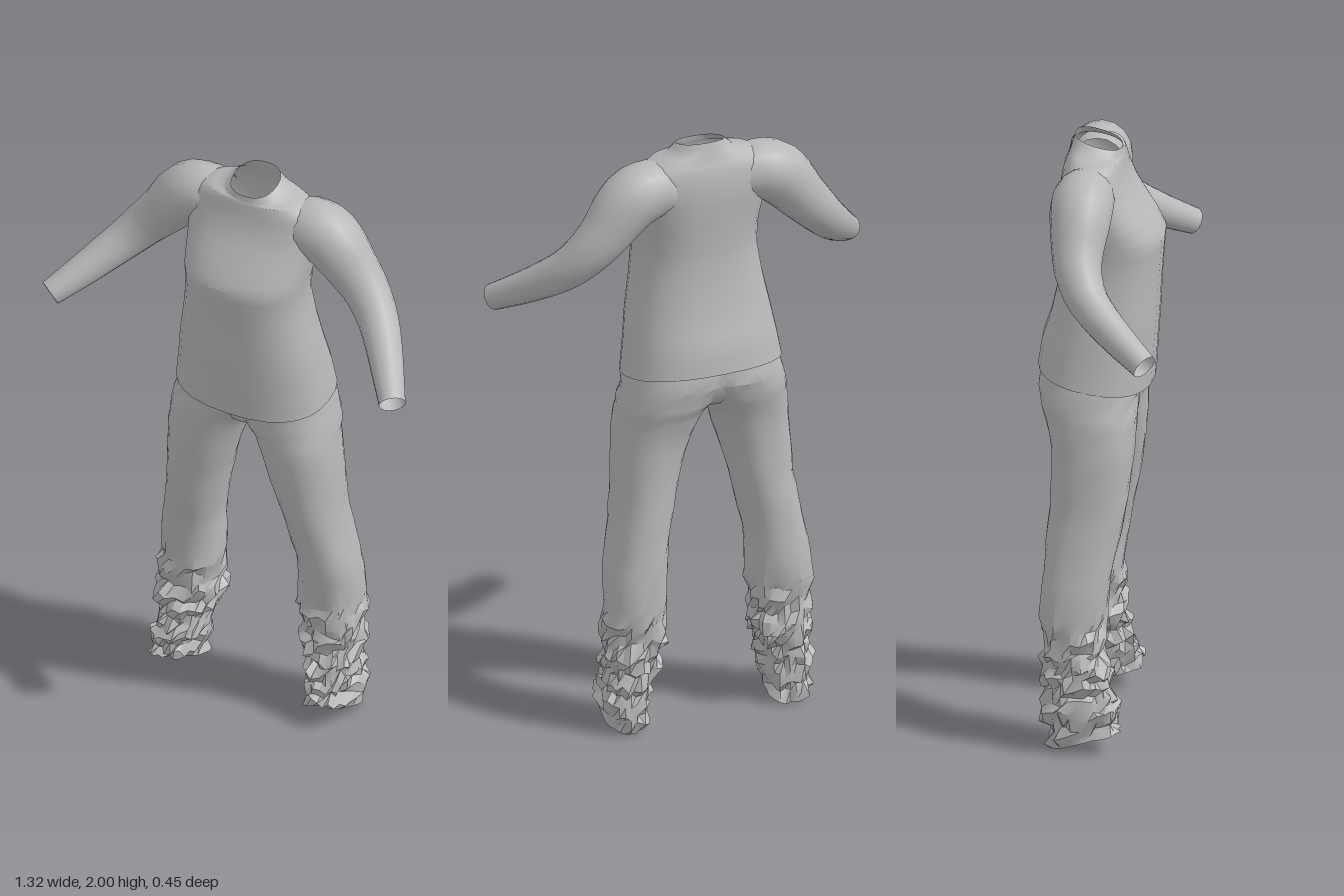
import * as THREE from 'three';
import { toCreasedNormals } from 'three/addons/utils/BufferGeometryUtils.js';

const SEG = 28;

// Small seeded random in -1..1
function seeded(seed) {
  return () => {
    seed = (seed * 16807) % 2147483647;
    return (seed / 2147483647) * 2 - 1;
  };
}

// Skin a list of rings (equal point counts, bottom to top) into an open tube
function loft(rings, crease = 0.6) {
  const pos = [], index = [], n = rings[0].length;
  rings.forEach(r => r.forEach(p => pos.push(p.x, p.y, p.z)));
  for (let i = 0; i < rings.length - 1; i++) {
    for (let j = 0; j < n; j++) {
      const a = i * n + j, b = i * n + (j + 1) % n;
      index.push(a, a + n, b, b, a + n, b + n);
    }
  }
  const g = new THREE.BufferGeometry();
  g.setAttribute('position', new THREE.Float32BufferAttribute(pos, 3));
  g.setIndex(index);
  return toCreasedNormals(g, crease);
}

// Rounded-box cross-section: row = [y, xMin, xMax, zBack, zFront, tilt]
function ring([y, x0, x1, zb, zf, tilt = 0], power) {
  const cx = (x0 + x1) / 2, rx = (x1 - x0) / 2, cz = (zb + zf) / 2, rz = (zf - zb) / 2;
  return Array.from({ length: SEG }, (_, j) => {
    const a = j / SEG * Math.PI * 2, c = Math.cos(a), s = Math.sin(a);
    const px = Math.sign(c) * Math.abs(c) ** (2 / power) * rx;
    const pz = Math.sign(s) * Math.abs(s) ** (2 / power) * rz;
    return new THREE.Vector3(cx + px, y + tilt * pz, cz + pz);
  });
}

// Insert evenly blended rows between the given rows
function refine(rows, steps) {
  const out = [];
  for (let i = 0; i < rows.length - 1; i++)
    for (let k = 0; k < steps; k++)
      out.push(rows[i].map((v, c) => THREE.MathUtils.lerp(v, rows[i + 1][c], k / steps)));
  out.push(rows[rows.length - 1]);
  return out;
}

// Shirt body: [y, half width, zBack, zFront, tilt]
const BODY = [
  [1.205, 0.265, -0.225, 0.145, -0.16], [1.30, 0.25, -0.213, 0.152, -0.08],
  [1.40, 0.235, -0.185, 0.16, 0], [1.50, 0.216, -0.163, 0.165, 0],
  [1.60, 0.202, -0.15, 0.172, 0], [1.67, 0.205, -0.15, 0.178, 0],
  [1.72, 0.212, -0.151, 0.15, 0], [1.77, 0.22, -0.153, 0.115, 0],
  [1.82, 0.23, -0.154, 0.082, 0], [1.87, 0.23, -0.15, 0.06, 0],
  [1.91, 0.215, -0.142, 0.05, 0], [1.94, 0.17, -0.128, 0.045, -0.05],
  [1.955, 0.105, -0.12, 0.043, -0.18], [1.98, 0.076, -0.11, 0.04, -0.27],
];

// Sleeve path: [x, y, z, radius]
const SLEEVE = [
  [0.13, 1.845, -0.055, 0.085], [0.19, 1.85, -0.058, 0.098], [0.245, 1.835, -0.06, 0.102],
  [0.295, 1.79, -0.06, 0.096], [0.34, 1.735, -0.06, 0.085], [0.39, 1.68, -0.053, 0.076],
  [0.45, 1.615, -0.02, 0.067], [0.50, 1.567, 0.03, 0.061], [0.56, 1.512, 0.105, 0.053],
  [0.625, 1.457, 0.19, 0.043],
];

// Trouser leg: [y, xInner, xOuter, zBack, zFront, tilt]
const HEM = [
  [0.04, 0.215, 0.35, -0.155, 0.07, 0.35], [0.12, 0.205, 0.36, -0.168, 0.055, 0.2],
  [0.20, 0.19, 0.345, -0.168, 0.03, 0], [0.27, 0.16, 0.362, -0.18, 0.025, 0],
  [0.35, 0.155, 0.36, -0.183, 0.02, 0], [0.45, 0.152, 0.354, -0.188, 0.018, 0],
];
const LEG = [
  [0.53, 0.15, 0.35, -0.186, 0.028, 0], [0.60, 0.147, 0.338, -0.182, 0.04, 0],
  [0.70, 0.13, 0.318, -0.175, 0.06, 0], [0.80, 0.108, 0.304, -0.166, 0.078, 0],
  [0.90, 0.08, 0.299, -0.162, 0.092, 0], [1.00, 0.046, 0.294, -0.168, 0.103, 0],
  [1.07, 0.015, 0.285, -0.183, 0.105, 0], [1.12, -0.03, 0.277, -0.2, 0.105, 0],
  [1.18, -0.09, 0.264, -0.213, 0.11, 0], [1.25, -0.15, 0.245, -0.205, 0.12, 0],
];

function sleeveGeometry(side) {
  const curve = new THREE.CatmullRomCurve3(SLEEVE.map(p => new THREE.Vector3(side * p[0], p[1], p[2])));
  const count = 20, rings = [];
  for (let i = 0; i <= count; i++) {
    const t = i / count, c = curve.getPoint(t), dir = curve.getTangent(t);
    const f = t * (SLEEVE.length - 1), k = Math.min(Math.floor(f), SLEEVE.length - 2);
    const r = THREE.MathUtils.lerp(SLEEVE[k][3], SLEEVE[k + 1][3], f - k);
    const u = new THREE.Vector3(0, 0, 1).cross(dir).normalize();
    const v = u.clone().cross(dir);
    rings.push(Array.from({ length: 16 }, (_, j) => {
      const a = j / 16 * Math.PI * 2;
      return c.clone().addScaledVector(u, r * Math.cos(a)).addScaledVector(v, r * Math.sin(a));
    }));
  }
  return loft(rings);
}

function legGeometry(side) {
  const rnd = seeded(side > 0 ? 4711 : 977);
  const rows = [...refine(HEM, 3), ...refine(LEG, 2)];
  const rings = rows.map(([y, xi, xo, zb, zf, tilt], i) => {
    const pts = ring([y, Math.min(side * xi, side * xo), Math.max(side * xi, side * xo), zb, zf, tilt], 2.3);
    // Bunched cloth near the ankle, fading to faint creases above
    const amount = 0.002 + 0.016 * (1 - THREE.MathUtils.smoothstep(y, 0.25, 0.55));
    const cx = side * (xi + xo) / 2, cz = (zb + zf) / 2;
    const phase = rnd() * 3;
    pts.forEach((p, j) => {
      const fold = Math.sin(i * 2.3 + phase + Math.sin(j / SEG * Math.PI * 4) * 1.5);
      const push = 1 + amount * (fold * 0.7 + rnd() * 0.7) / 0.1;
      p.x = cx + (p.x - cx) * push;
      p.z = cz + (p.z - cz) * push;
      if (i > 0) p.y += amount * rnd() * 0.8;
      p.y = Math.max(p.y, 0);
    });
    return pts;
  });
  return loft(rings, 0.5);
}

export function createModel() {
  const model = new THREE.Group();
  const cloth = new THREE.MeshStandardMaterial({ color: 0xb8b8b8, side: THREE.DoubleSide });
  cloth.name = 'grey cloth';
  const add = (name, geometry, parent) => {
    const mesh = new THREE.Mesh(geometry, cloth);
    mesh.name = name;
    parent.add(mesh);
  };

  // Long-sleeved shirt
  const shirt = new THREE.Group();
  shirt.name = 'shirt';
  const bodyRows = BODY.map(([y, w, zb, zf, tilt]) => [y, -w, w, zb, zf, tilt]);
  add('shirtBody', loft(refine(bodyRows, 2).map(r => ring(r, 2.4))), shirt);
  add('leftSleeve', sleeveGeometry(1), shirt);
  add('rightSleeve', sleeveGeometry(-1), shirt);

  // Trousers: a seat joining two legs
  const trousers = new THREE.Group();
  trousers.name = 'trousers';
  const seat = [
    [1.085, -0.02, 0.02, -0.08, 0.02], [1.10, -0.09, 0.09, -0.15, 0.07],
    [1.14, -0.17, 0.17, -0.19, 0.095], [1.19, -0.23, 0.23, -0.205, 0.11],
    [1.25, -0.235, 0.235, -0.2, 0.12],
  ];
  add('trouserSeat', loft(seat.map(r => ring(r, 2.3))), trousers);
  add('leftLeg', legGeometry(1), trousers);
  add('rightLeg', legGeometry(-1), trousers);

  model.add(shirt, trousers);
  return model;
}
